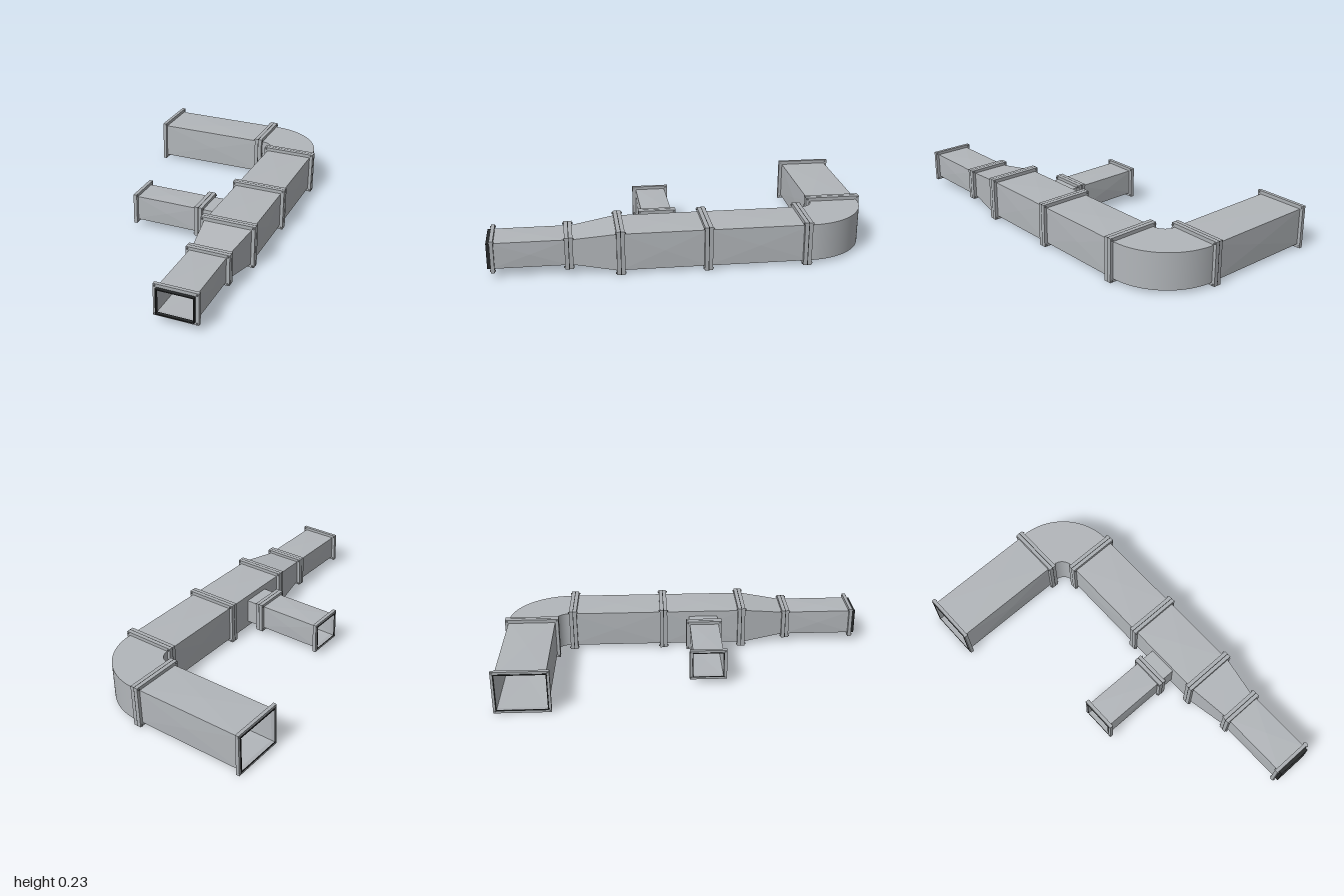
import * as THREE from 'three';

const material = (name, color, side = THREE.FrontSide) => {
  const m = new THREE.MeshStandardMaterial({ color, side });
  m.name = name;
  return m;
};

export function createModel() {
  const sheet = material('galvanised sheet', 0xb2b6ba, THREE.DoubleSide);
  const steel = material('flange steel', 0xabafb3);
  const rubber = material('gasket rubber', 0x262829);
  const boltSteel = material('bolt steel', 0x8d9195);

  const root = new THREE.Group();
  root.name = 'ductwork';
  const CY = 0.1185, T = 0.019, GAP = 0.004;
  const big = { w: 0.13, h: 0.0985, fw: 0.148, fh: 0.1175 };
  const small = { w: 0.098, h: 0.0685, fw: 0.116, fh: 0.085 };
  const side = { w: 0.081, h: 0.0685, fw: 0.1, fh: 0.085 };

  const add = (parent, name, geometry, mat) => {
    const mesh = new THREE.Mesh(geometry, mat);
    mesh.name = name;
    parent.add(mesh);
    return mesh;
  };

  // a run of parts along local +z
  const run = (name, x, z, turn = 0) => {
    const g = new THREE.Group();
    g.name = name;
    g.position.set(x, CY, z);
    g.rotation.y = turn;
    root.add(g);
    return g;
  };

  // open rectangular tube; each panel is cross-broken, with a slightly raised middle
  const duct = (parent, name, z0, z1, a, b = a, bulge = 0.003) => {
    const signs = [[1, -1], [1, 1], [-1, 1], [-1, -1]];
    const corner = (s, z, [sx, sy]) => new THREE.Vector3(sx * s.w, sy * s.h, z);
    const points = [];
    for (let i = 0; i < 4; i++) {
      const p = signs[i], q = signs[(i + 1) % 4];
      const quad = [corner(a, z0, p), corner(a, z0, q), corner(b, z1, q), corner(b, z1, p)];
      const mid = quad.reduce((sum, v) => sum.add(v), new THREE.Vector3()).multiplyScalar(0.25);
      const out = new THREE.Vector3(p[0] + q[0], p[1] + q[1], 0).normalize();
      mid.addScaledVector(out, bulge);
      for (let k = 0; k < 4; k++) points.push(quad[k], quad[(k + 1) % 4], mid);
    }
    const geometry = new THREE.BufferGeometry().setFromPoints(points);
    geometry.computeVertexNormals();
    return add(parent, name, geometry, sheet);
  };

  // rectangular ring extruded along z
  const frame = (parent, name, z, depth, ow, oh, iw, ih, mat) => {
    const rect = (Kind, w, h) => new Kind([[-w, -h], [w, -h], [w, h], [-w, h]]
      .map(([x, y]) => new THREE.Vector2(x, y)));
    const shape = rect(THREE.Shape, ow, oh);
    shape.holes.push(rect(THREE.Path, iw, ih));
    const geometry = new THREE.ExtrudeGeometry(shape, { depth, bevelEnabled: false });
    add(parent, name, geometry, mat).position.z = z;
  };

  // four corner bolts through a flange or joint
  const bolts = (parent, z, length, s) => {
    for (const sx of [-1, 1]) for (const sy of [-1, 1]) {
      const geometry = new THREE.CylinderGeometry(0.005, 0.005, length, 8).rotateX(Math.PI / 2);
      add(parent, 'cornerBolt', geometry, boltSteel)
        .position.set(sx * (s.fw - 0.009), sy * (s.fh - 0.009), z);
    }
  };

  const flange = (parent, z, s) => frame(parent, 'flange', z, T, s.fw, s.fh, s.w, s.h, steel);

  // two flanges with a gasket between them
  const joint = (parent, z, s) => {
    flange(parent, z + GAP / 2, s);
    flange(parent, z - GAP / 2 - T, s);
    frame(parent, 'gasket', z - GAP / 2, GAP, s.fw, s.fh, s.w, s.h, rubber);
    bolts(parent, z, 2 * T + GAP + 0.012, s);
  };

  // main run towards the front
  const main = run('mainRun', 0.356, 0);
  duct(main, 'rearDuct', -0.655, -0.116, big);
  duct(main, 'teeDuct', -0.116, 0.332, big);
  duct(main, 'reducerCollar', 0.332, 0.352, big, big, 0);
  duct(main, 'reducer', 0.352, 0.572, big, small, 0);
  duct(main, 'reducerNeck', 0.572, 0.591, small, small, 0);
  duct(main, 'frontDuct', 0.591, 0.982, small);
  for (const z of [-0.632, -0.116, 0.332]) joint(main, z, big);
  joint(main, 0.591, small);
  flange(main, 0.963, small);
  bolts(main, 0.9725, T + 0.01, small);
  frame(main, 'frontGasket', 0.982, 0.018, small.w, small.h, small.w - 0.005, small.h - 0.005, rubber);

  // rear run, heading right from the elbow
  const rear = run('rearRun', 0.132, -0.854, -Math.PI / 2);
  duct(rear, 'rearOutletDuct', -0.023, 0.636, big);
  joint(rear, 0, big);
  flange(rear, 0.617, big);
  bolts(rear, 0.6265, T + 0.006, big);
  frame(rear, 'endGasket', 0.636, 0.003, big.w + 0.006, big.h + 0.006, big.w, big.h, rubber);

  // side branch
  const branch = run('sideBranch', 0.132, 0.111, -Math.PI / 2);
  duct(branch, 'branchStub', -0.096, 0, side, side, 0);
  duct(branch, 'branchDuct', 0, 0.382, side);
  joint(branch, 0, side);
  flange(branch, 0.363, side);
  bolts(branch, 0.3725, T + 0.006, side);
  frame(branch, 'endGasket', 0.382, 0.003, side.w + 0.004, side.h + 0.004, side.w, side.h, rubber);

  // quarter-turn elbow joining the main and rear runs
  const elbow = run('elbow', 0.155, -0.655);
  const inner = 0.071, outer = 0.331, quarter = Math.PI / 2;
  for (const [name, r] of [['elbowOuterWall', outer], ['elbowInnerWall', inner]])
    add(elbow, name, new THREE.CylinderGeometry(r, r, big.h * 2, 32, 1, true, quarter, quarter), sheet);
  add(elbow, 'elbowTop', new THREE.RingGeometry(inner, outer, 32, 1, 0, quarter)
    .rotateX(-quarter), sheet).position.y = big.h;
  add(elbow, 'elbowBottom', new THREE.RingGeometry(inner, outer, 32, 1, -quarter, quarter)
    .rotateX(quarter), sheet).position.y = -big.h;

  return root;
}
